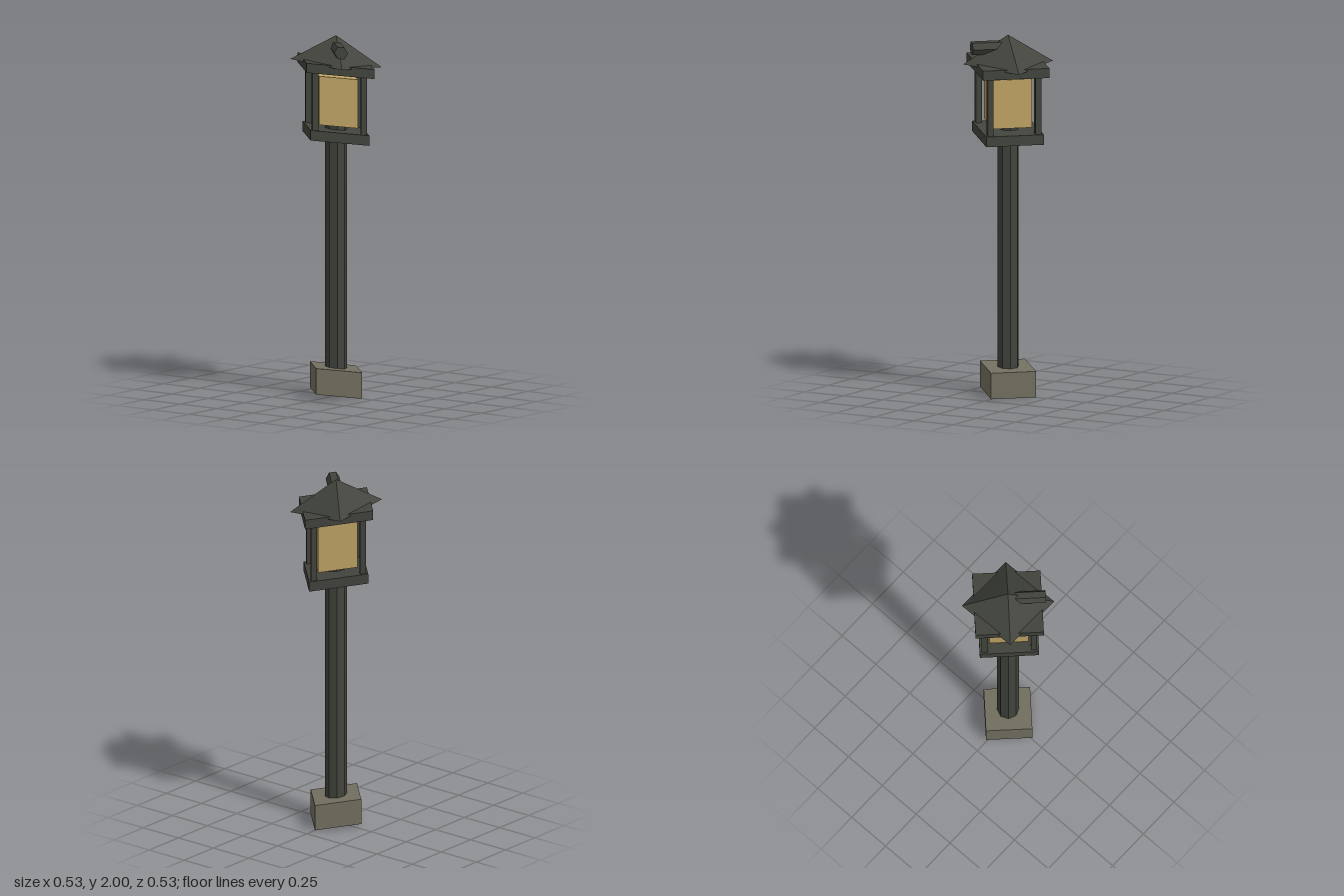
import * as THREE from 'three';

export function createModel() {
  const group = new THREE.Group();
  const iron = new THREE.MeshStandardMaterial({ color: 0x42443d });
  iron.name = 'dark iron';
  const stone = new THREE.MeshStandardMaterial({ color: 0x737060 });
  stone.name = 'grey stone';
  const glow = new THREE.MeshStandardMaterial({ color: 0xbfa364 });
  glow.name = 'amber glass';

  // The whole lantern leans: heights slope down toward +x and -z
  const k = 0.08;
  const lean = new THREE.Matrix4().set(1, 0, 0, 0, -k, 1, k, 0, 0, 0, 1, 0, 0, 0, 0, 1);

  function add(name, geometry, material) {
    const flat = geometry.toNonIndexed().applyMatrix4(lean);
    flat.computeVertexNormals();
    const mesh = new THREE.Mesh(flat, material);
    mesh.name = name;
    group.add(mesh);
  }

  // Square block turned by 45 degrees; radius reaches to its corners
  function block(name, radius, y0, y1, material, x = 0, z = 0) {
    const side = radius * Math.SQRT2;
    const g = new THREE.BoxGeometry(side, y1 - y0, side);
    g.rotateY(Math.PI / 4).translate(x, (y0 + y1) / 2, z);
    add(name, g, material);
  }

  block('base', 0.18, 0.0145, 0.159, stone);

  // Eight-sided pole
  const y0 = 0.15, y1 = 1.509;
  add('pole', new THREE.CylinderGeometry(0.06, 0.06, y1 - y0, 8).translate(0, (y0 + y1) / 2, 0), iron);

  // Lantern cage
  block('lowerFrame', 0.23, 1.427, 1.483, iron);
  block('upperFrame', 0.265, 1.804, 1.857, iron);
  block('lampGlass', 0.153, 1.51, 1.78, glow);
  for (const [x, z] of [[1, 0], [-1, 0], [0, 1], [0, -1]]) {
    block('cornerPost', 0.0235, 1.475, 1.81, iron, x * 0.191, z * 0.191);
  }

  // Pyramid roof with sides facing the axes
  const roof = new THREE.ConeGeometry(0.253, 0.154, 4);
  add('roof', roof.rotateY(Math.PI / 4).translate(0, 1.923, 0), iron);

  // Six-sided stub sticking out over the front left roof ridge
  const stub = new THREE.CylinderGeometry(0.038, 0.038, 0.175, 6);
  stub.rotateY(Math.PI / 6).rotateX(Math.PI / 2).translate(0, 1.933, 0.1185).rotateY(Math.PI / 4);
  add('roofStub', stub, iron);

  return group;
}
